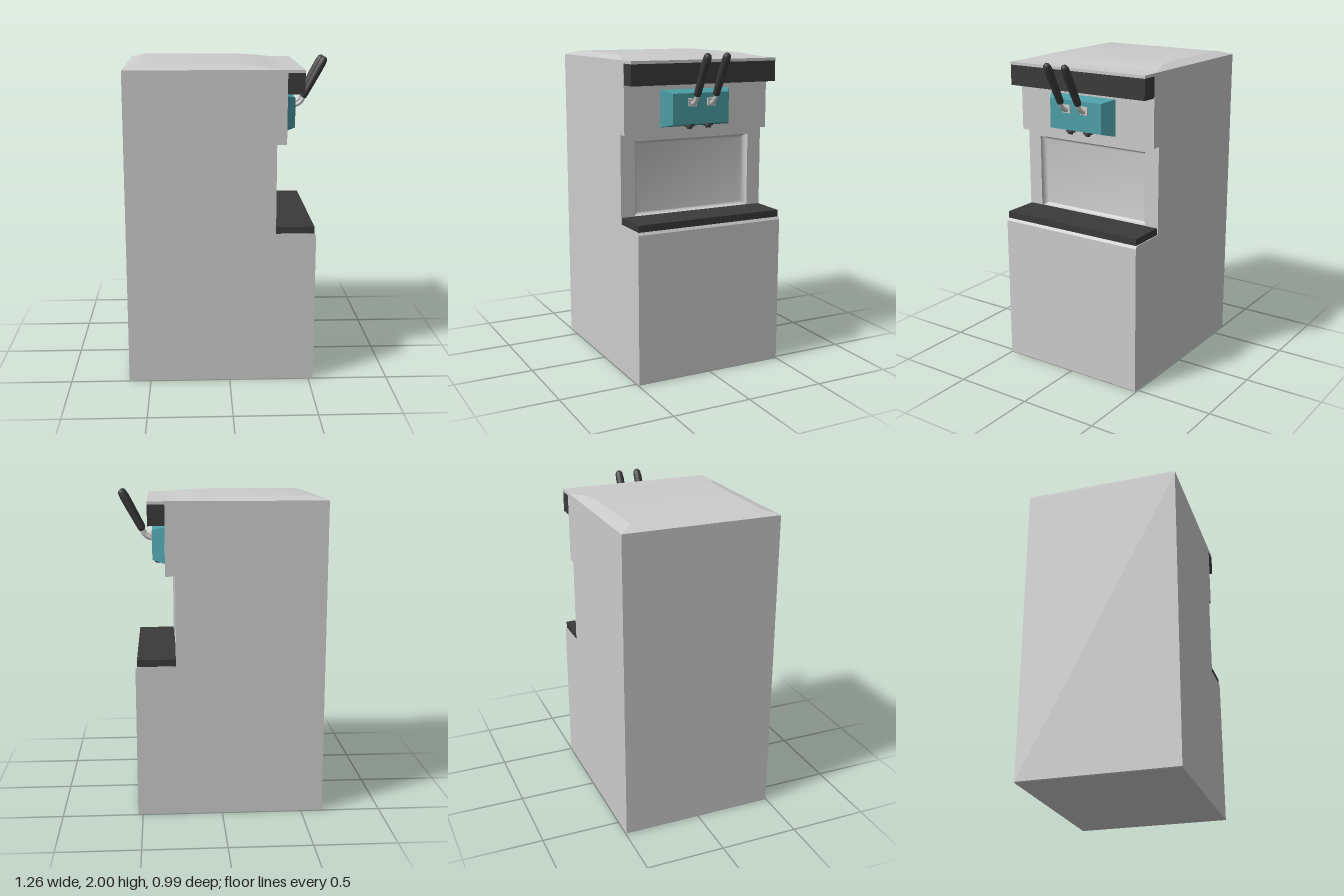
import * as THREE from 'three';
import { toCreasedNormals } from 'three/addons/utils/BufferGeometryUtils.js';

const grey = new THREE.MeshStandardMaterial({ color: 0xcccccc });
const dark = new THREE.MeshStandardMaterial({ color: 0x3a3a3a });
const teal = new THREE.MeshStandardMaterial({ color: 0x4c9ea6 });

const HALF = 0.494; // half width of the cabinet

function add(parent, name, geometry, material, x = 0, y = 0, z = 0) {
  const mesh = new THREE.Mesh(geometry, material);
  mesh.name = name;
  mesh.position.set(x, y, z);
  parent.add(mesh);
  return mesh;
}

function boxBetween(x0, x1, y0, y1, half) {
  return new THREE.BoxGeometry(x1 - x0, y1 - y0, half * 2)
    .translate((x0 + x1) / 2, (y0 + y1) / 2, 0);
}

// Skin over convex rings of [x, y, z] corners, counter-clockwise seen from +x
function loft(rings, crease) {
  const n = rings[0].length;
  const index = [];
  for (let r = 0; r < rings.length - 1; r++) {
    for (let i = 0; i < n; i++) {
      const a = r * n + i, b = r * n + (i + 1) % n;
      index.push(a, b, b + n, a, b + n, a + n);
    }
  }
  const last = (rings.length - 1) * n;
  for (let i = 1; i < n - 1; i++) {
    index.push(0, i + 1, i, last, last + i, last + i + 1);
  }
  const g = new THREE.BufferGeometry();
  g.setAttribute('position', new THREE.Float32BufferAttribute(rings.flat(2), 3));
  g.setIndex(index);
  return toCreasedNormals(g.toNonIndexed(), crease);
}

const rect = (x, half, y0, y1) => [[x, y0, half], [x, y0, -half], [x, y1, -half], [x, y1, half]];

function cabinet() {
  const s = new THREE.Shape();
  [[-0.63, 0], [0.525, 0], [0.53, 0.006], [0.53, 0.94], [0.52, 0.957], [0.23, 0.957], [0.23, 1.51],
    [0.342, 1.51], [0.342, 1.94], [-0.635, 1.94], [-0.635, 0.006]]
    .forEach(([x, y], i) => (i ? s.lineTo(x, y) : s.moveTo(x, y)));
  return new THREE.ExtrudeGeometry(s, { depth: HALF * 2, bevelEnabled: false }).translate(0, 0, -HALF);
}

// Back wall of the serving bay, with a coved frame around a sunken panel
function bayWall() {
  const rings = [rect(0.23, HALF, 0.957, 1.51), rect(0.283, HALF, 0.957, 1.51)];
  for (let i = 0; i <= 5; i++) {
    const a = (i / 5) * Math.PI / 2;
    const k = 1 - Math.cos(a);
    rings.push(rect(0.283 - 0.035 * Math.sin(a), 0.4 - 0.042 * k, 0.998 + 0.024 * k, 1.465 - 0.027 * k));
  }
  return loft(rings, 0.5);
}

// Lid whose crown fades out toward the edges: [x, rise]
function lid() {
  const stations = [[-0.635, 0.01], [-0.59, 0.55], [-0.565, 0.85], [-0.54, 1], [-0.2, 1], [0, 0.96],
    [0.1, 0.86], [0.16, 0.72], [0.21, 0.52], [0.25, 0.32], [0.29, 0.1], [0.32, 0.01], [0.446, 0.005]];
  return loft(stations.map(([x, t]) => {
    const h = HALF - 0.084 * t, top = 1.955 + 0.025 * t;
    return [[x, 1.937, HALF], [x, 1.937, -HALF], [x, 1.955, -HALF], [x, top, -h], [x, top, h], [x, 1.955, HALF]];
  }), 0.25);
}

// Bracket, bent rod and tapered grip
function lever(z) {
  const g = new THREE.Group();
  g.name = 'lever';
  add(g, 'leverBracket', new THREE.BoxGeometry(0.012, 0.05, 0.054), grey, 0.423, 1.7);
  const path = new THREE.CatmullRomCurve3([[0.42, 1.692], [0.445, 1.698], [0.468, 1.715], [0.482, 1.738], [0.5, 1.775]]
    .map(([x, y]) => new THREE.Vector3(x, y, 0)));
  add(g, 'leverRod', new THREE.TubeGeometry(path, 16, 0.014, 12), grey);
  const profile = [[0, 0], [0.014, 0], [0.02, 0.006], [0.022, 0.02], [0.026, 0.19], [0.026, 0.24],
    [0.023, 0.27], [0.018, 0.282], [0.01, 0.288], [0, 0.289]].map(([r, y]) => new THREE.Vector2(r, y));
  const grip = add(g, 'leverGrip', new THREE.LatheGeometry(profile, 16), dark, 0.48, 1.742);
  grip.quaternion.setFromUnitVectors(new THREE.Vector3(0, 1, 0), new THREE.Vector3(0.475, 0.88, 0).normalize());
  g.position.z = z;
  return g;
}

// Flanged outlet below the dispensing head
function nozzle(z) {
  const g = new THREE.Group();
  g.name = 'nozzle';
  add(g, 'nozzleFlange', new THREE.CylinderGeometry(0.03, 0.03, 0.014, 20), dark, 0, -0.004);
  add(g, 'nozzleTip', new THREE.CylinderGeometry(0.02, 0.015, 0.016, 20), dark, 0, -0.016);
  g.position.set(0.386, 1.56, z);
  g.rotation.z = 0.2;
  return g;
}

export function createModel() {
  const model = new THREE.Group();
  model.name = 'softServeMachine';

  add(model, 'cabinet', cabinet(), grey);
  add(model, 'bayWall', bayWall(), grey);
  add(model, 'lid', lid(), grey);
  add(model, 'visor', boxBetween(0.34, 0.445, 1.81, 1.937, HALF - 0.001), dark);
  add(model, 'dripShelf', boxBetween(0.28, 0.52, 0.957, 1.0, 0.488), dark);

  // Dispensing head, a block tapering to the front
  add(model, 'dispensingHead', loft([rect(0.34, 0.241, 1.548, 1.776), rect(0.42, 0.19, 1.568, 1.755)], 0.1),
    teal, 0, 0, 0.018);

  for (const z of [0.079, -0.05]) model.add(lever(z), nozzle(z));
  return model;
}
